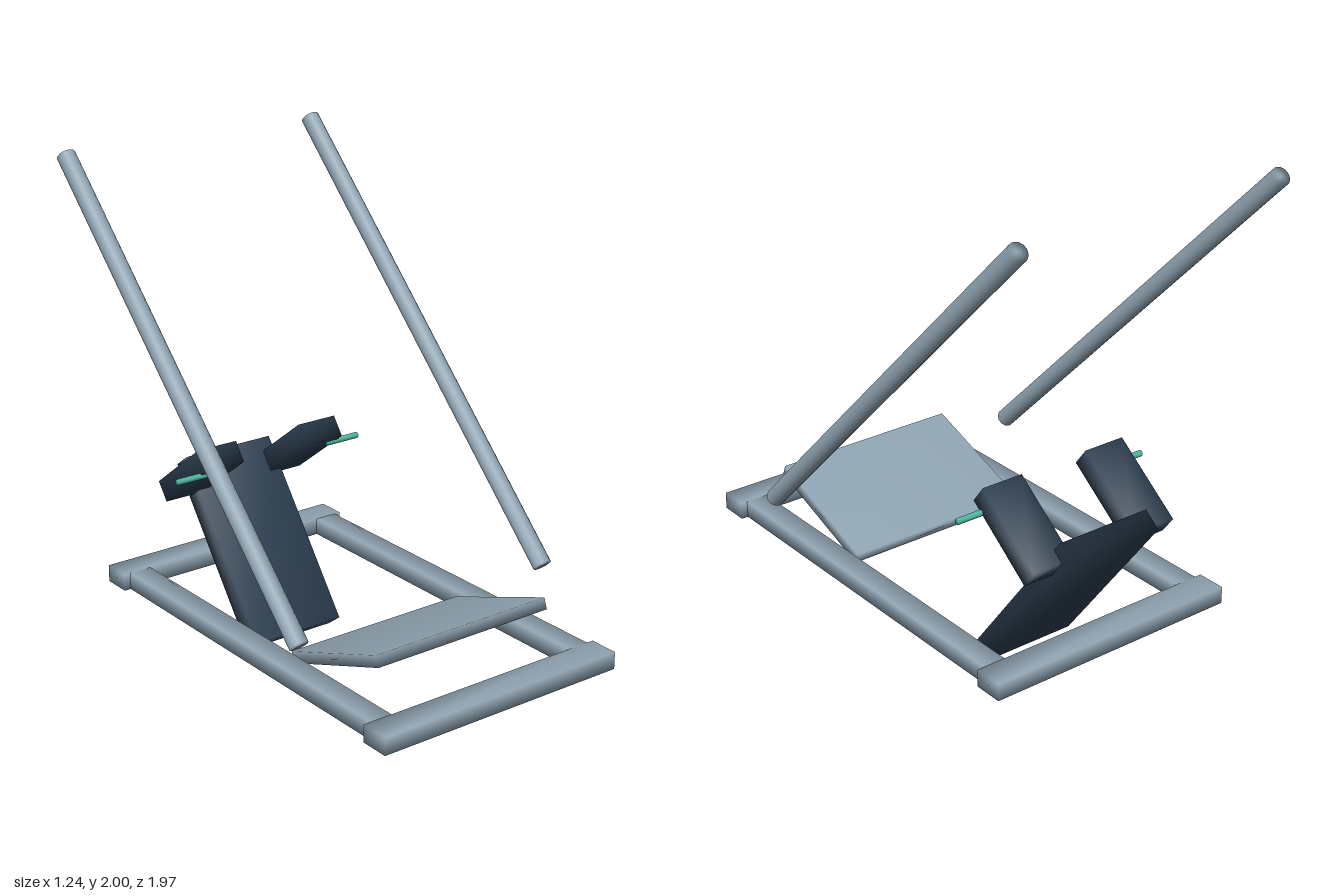
import * as THREE from 'three';
import { mergeVertices } from 'three/addons/utils/BufferGeometryUtils.js';

const steel = new THREE.MeshStandardMaterial({ color: 0x90a4b2 });
const padding = new THREE.MeshStandardMaterial({ color: 0x2c3e50 });
const grip = new THREE.MeshStandardMaterial({ color: 0x50b8a2 });

// Share corners so the shading runs softly across the edges.
function soften(geometry) {
  geometry.deleteAttribute('normal');
  geometry.deleteAttribute('uv');
  const merged = mergeVertices(geometry, 1e-4);
  merged.computeVertexNormals();
  return merged;
}

function createModel() {
  const model = new THREE.Group();
  model.name = 'exerciseMachine';

  function add(name, geometry, material, position, tilt = 0) {
    const mesh = new THREE.Mesh(soften(geometry), material);
    mesh.name = name;
    mesh.position.set(...position);
    mesh.rotation.x = tilt;
    model.add(mesh);
    return mesh;
  }
  const box = (...size) => new THREE.BoxGeometry(...size);

  // Base frame
  add('frontCrossbar', box(1.09, 0.07, 0.12), steel, [0, 0.255, 0.929]);
  add('backCrossbar', box(1.09, 0.07, 0.12), steel, [0, 0.255, -0.767]);

  // Sloping foot plate
  add('footPlate', box(0.8, 0.046, 0.54), steel, [0, 0.352, 0.505], -THREE.MathUtils.degToRad(20));

  // Reclined back pad
  const recline = -0.645;
  add('backPad', box(0.41, 0.815, 0.088), padding, [0, 0.355, -0.54], recline);

  for (const [side, s] of [['left', 1], ['right', -1]]) {
    add(side + 'Rail', box(0.095, 0.07, 1.576), steel, [s * 0.469, 0.255, 0.081]);

    // Guide pole leaning back at 45 degrees
    add(side + 'GuidePole', new THREE.CylinderGeometry(0.0375, 0.0375, 2.12, 12),
      steel, [s * 0.581, 1.222, -0.209], -Math.PI / 4);

    // Shoulder pad, square to the back pad, with a handle beneath it
    add(side + 'ShoulderPad', box(0.18, 0.09, 0.37), padding, [s * 0.243, 0.704, -0.587], recline);
    const handle = new THREE.CylinderGeometry(0.0125, 0.0125, 0.156, 12).rotateZ(Math.PI / 2);
    add(side + 'Handle', handle, grip, [s * 0.364, 0.746, -0.455]);
  }

  return model;
}

export { createModel };
